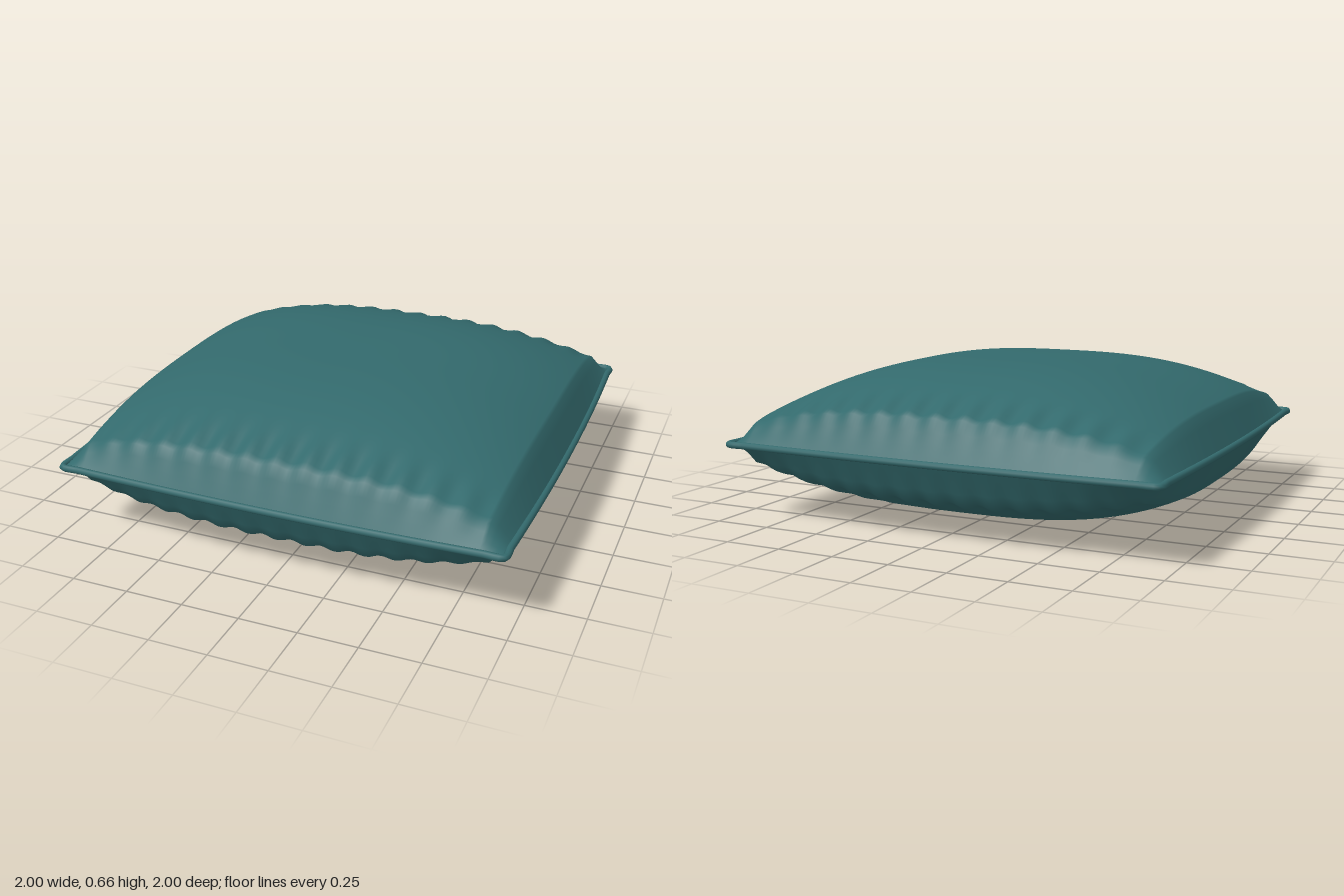
import * as THREE from 'three';

const SEAM_Y = 0.333, PUFF = 0.33, KNEE = 0.915;
const fabric = new THREE.MeshStandardMaterial({ color: 0x336a6d, side: THREE.DoubleSide });

// Half width of the cushion outline, bowing out slightly mid-edge
const halfWidth = (t) => 0.985 - 0.025 * t * t;
const outline = (u, v) => [u * halfWidth(v), v * halfWidth(u)];

// Domed cross-section that falls straight to the seam past the knee
function profile(t) {
  const a = Math.abs(t);
  return a <= KNEE ? 1 - 0.5 * Math.pow(a / KNEE, 2.9) : 0.5 * (1 - a) / (1 - KNEE);
}

// Gathered ripples along the front and back edges
function ripple(u, v) {
  const band = Math.exp(-Math.pow((Math.abs(v) - 0.86) / 0.09, 2));
  const fade = Math.min(1, (1 - Math.abs(v)) / 0.08) * profile(u);
  return 0.011 * band * fade * Math.cos(u * Math.PI * 15);
}

// Grid lines: even across the dome, a few over the steep rim
function gridLines(n) {
  const lines = [];
  for (let i = 0; i <= n; i++) lines.push(KNEE * (2 * i / n - 1));
  const rim = [0.94, 0.965, 0.985, 1];
  return [...rim.map((r) => -r).reverse(), ...lines, ...rim];
}

// One puffed half; side is 1 for the top and -1 for the underside
function cushionHalf(side) {
  const us = gridLines(120), vs = gridLines(60);
  const positions = [], index = [];
  for (const v of vs) {
    for (const u of us) {
      const [x, z] = outline(u, v);
      const h = PUFF * profile(u) * profile(v) + ripple(u, v);
      positions.push(x, SEAM_Y + side * h, z);
    }
  }
  const w = us.length;
  for (let j = 0; j < vs.length - 1; j++) {
    for (let i = 0; i < w - 1; i++) {
      const a = j * w + i, b = a + 1, c = a + w, d = c + 1;
      if (side > 0) index.push(a, c, b, b, c, d);
      else index.push(a, b, c, b, d, c);
    }
  }
  const geo = new THREE.BufferGeometry();
  geo.setAttribute('position', new THREE.Float32BufferAttribute(positions, 3));
  geo.setIndex(index);
  geo.computeVertexNormals();
  return geo;
}

// Piping cord following the seam round all four edges
function pipingGeometry() {
  const points = [], n = 24;
  const corners = [[-1, -1], [1, -1], [1, 1], [-1, 1]];
  corners.forEach(([u0, v0], k) => {
    const [u1, v1] = corners[(k + 1) % 4];
    for (let i = 0; i < n; i++) {
      const t = i / n;
      const [x, z] = outline(u0 + (u1 - u0) * t, v0 + (v1 - v0) * t);
      points.push(new THREE.Vector3(x, SEAM_Y, z));
    }
  });
  const path = new THREE.CatmullRomCurve3(points, true, 'centripetal');
  return new THREE.TubeGeometry(path, 384, 0.015, 10, true);
}

export function createModel() {
  const cushion = new THREE.Group();
  cushion.name = 'cushion';
  const add = (name, geometry) => {
    const mesh = new THREE.Mesh(geometry, fabric);
    mesh.name = name;
    cushion.add(mesh);
  };
  add('topCover', cushionHalf(1));
  add('bottomCover', cushionHalf(-1));
  add('piping', pipingGeometry());
  return cushion;
}
